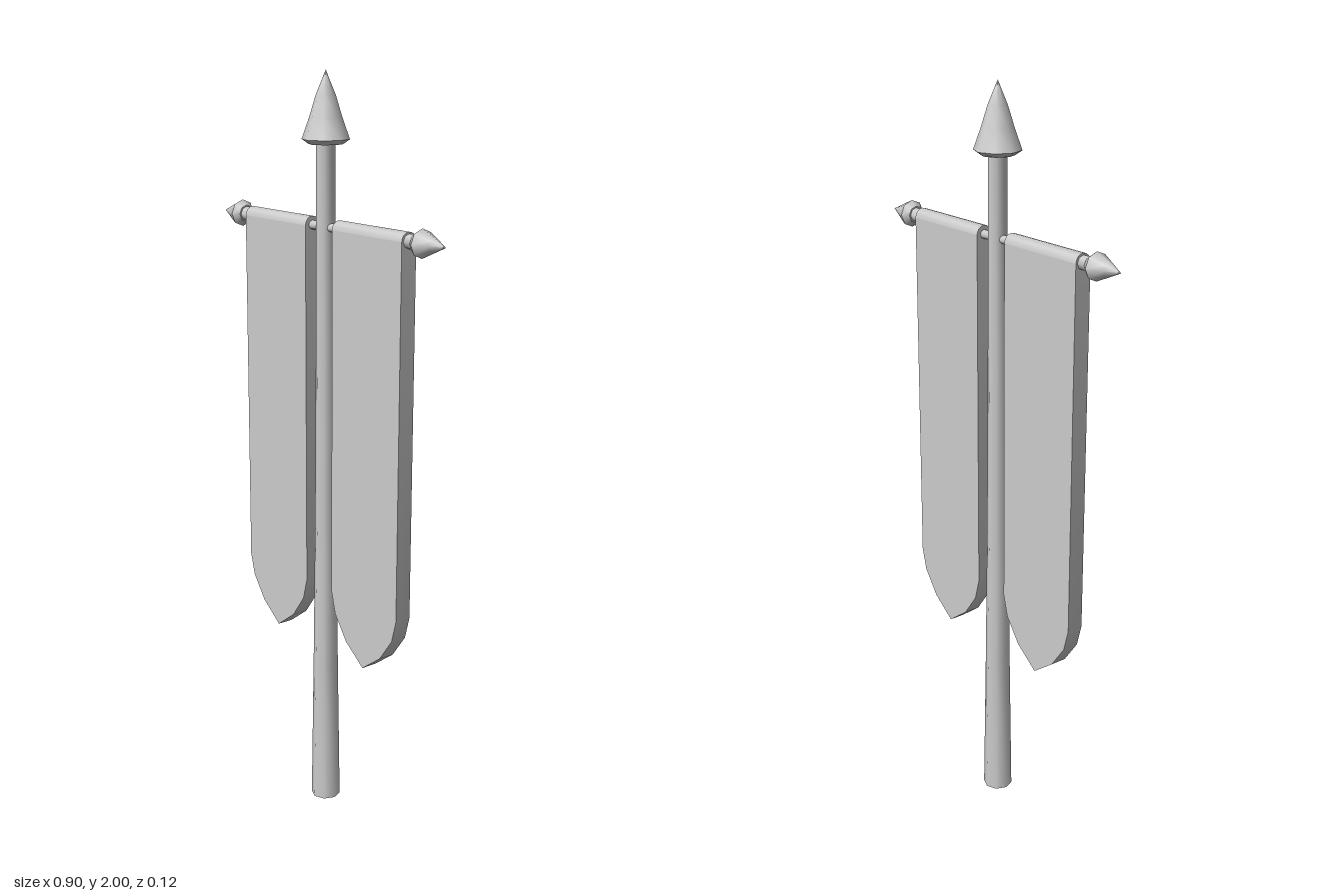
import * as THREE from 'three';
import { toCreasedNormals } from 'three/addons/utils/BufferGeometryUtils.js';

const grey = new THREE.MeshStandardMaterial({ color: 0xcccccc });
const BAR_Y = 1.613;

function mesh(name, geometry) {
  const m = new THREE.Mesh(toCreasedNormals(geometry, 0.82), grey);
  m.name = name;
  return m;
}

// Eight-sided turned part from [radius, height] pairs, listed bottom to top
function turned(profile) {
  return new THREE.LatheGeometry(profile.map(([r, y]) => new THREE.Vector2(r, y)), 8);
}

// Hanging cloth with a pointed, curved hem and a rounded fold over the crossbar
function banner(side) {
  const group = new THREE.Group();
  group.name = side > 0 ? 'leftBanner' : 'rightBanner';
  const w = 0.133, t = 0.023;
  const hem = [[-w, 0.64], [-0.117, 0.58], [-0.07, 0.515], [0, 0.463], [0.07, 0.515], [0.117, 0.58], [w, 0.64]];
  const shape = new THREE.Shape();
  shape.moveTo(-w, BAR_Y);
  hem.forEach(([x, y]) => shape.lineTo(x, y));
  shape.lineTo(w, BAR_Y);
  shape.closePath();
  const cloth = new THREE.ExtrudeGeometry(shape, { depth: 2 * t, bevelEnabled: false });
  cloth.translate(0, 0, -t);
  group.add(mesh('cloth', cloth));

  const fold = new THREE.CylinderGeometry(t, t, 2 * w, 8, 1, false, -Math.PI / 2, Math.PI);
  fold.rotateX(-Math.PI / 2).rotateY(Math.PI / 2).translate(0, BAR_Y, 0);
  group.add(mesh('fold', fold));
  group.position.x = side * 0.188;
  return group;
}

export function createModel() {
  const model = new THREE.Group();
  model.name = 'bannerPole';

  // Tapered pole with a closed foot
  model.add(mesh('pole', turned([[0, 0], [0.04, 0], [0.034, 0.4], [0.029, 0.8], [0.026, 1.3], [0.024, 1.83]])));

  // Flared spear point
  model.add(mesh('spearhead', turned([[0, 1.82], [0.044, 1.82], [0.061, 1.832], [0.042, 1.885], [0.025, 1.94], [0, 2]])));

  for (const side of [1, -1]) {
    // Crossbar arm, thinner at the pole, ending in a pointed finial
    const arm = turned([[0.011, 0], [0.012, 0.05], [0.019, 0.35]]);
    const finial = turned([[0, 0.349], [0.023, 0.349], [0.036, 0.368], [0.018, 0.41], [0, 0.451]]);
    for (const [name, g] of [['crossbarArm', arm], ['finial', finial]]) {
      g.rotateZ(-side * Math.PI / 2).translate(0, BAR_Y, 0);
      model.add(mesh(name, g));
    }
    model.add(banner(side));
  }
  return model;
}
